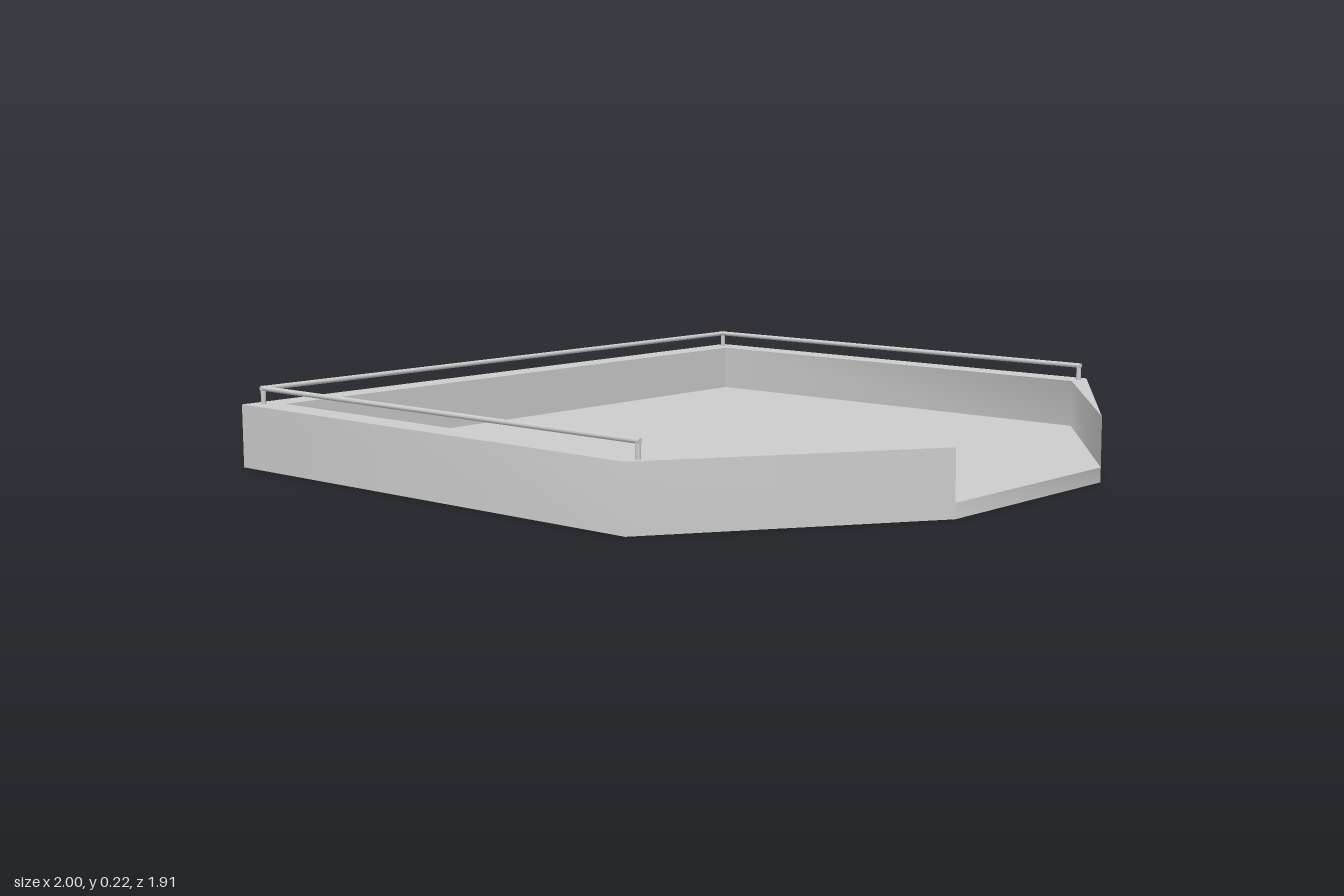
import * as THREE from 'three';
import { toCreasedNormals } from 'three/addons/utils/BufferGeometryUtils.js';

const material = new THREE.MeshStandardMaterial({ color: 0xcccccc });

function addMesh(parent, name, geometry) {
  const mesh = new THREE.Mesh(geometry, material);
  mesh.name = name;
  parent.add(mesh);
  return mesh;
}

// Upright slab standing on y = 0 from a plan outline of [x, z] points
function slab(points, height) {
  const shape = new THREE.Shape(points.map(([x, z]) => new THREE.Vector2(x, -z)));
  const geometry = new THREE.ExtrudeGeometry(shape, { depth: height, bevelEnabled: false });
  geometry.rotateX(-Math.PI / 2);
  return toCreasedNormals(geometry, Math.PI / 3);
}

// Round bar between two points
function bar(a, b, radius) {
  const start = new THREE.Vector3(...a);
  const dir = new THREE.Vector3(...b).sub(start);
  const geometry = new THREE.CylinderGeometry(radius, radius, dir.length(), 12);
  const turn = new THREE.Quaternion().setFromUnitVectors(new THREE.Vector3(0, 1, 0), dir.clone().normalize());
  geometry.applyQuaternion(turn);
  const mid = start.addScaledVector(dir, 0.5);
  return geometry.translate(mid.x, mid.y, mid.z);
}

export function createModel() {
  const model = new THREE.Group();
  model.name = 'walledTerrace';

  const wallTop = 0.175, floorTop = 0.04;
  const front = 0.955, back = -0.955, shoulder = 0.5, opening = 0.333;
  const innerX = 0.917, innerBack = -0.872;

  // Plan halves run from the front opening round to the back on the +x side
  const outer = [[opening, front], [1, shoulder], [1, back]];
  const inner = [[opening, front], [innerX, shoulder], [innerX, innerBack]];
  const mirrored = (half) => half.map(([x, z]) => [-x, z]).reverse();

  // Floor inside the walls, open at the front
  addMesh(model, 'floor', slab([...inner, ...mirrored(inner)], floorTop));

  // Parapet wall, its front wings tapering to the opening
  const outerLoop = [...outer, ...mirrored(outer)];
  const innerLoop = [...inner, ...mirrored(inner)].reverse().slice(1, -1);
  addMesh(model, 'parapetWall', slab([...outerLoop, ...innerLoop], wallTop));

  // Handrail on three sides
  const railing = new THREE.Group();
  railing.name = 'railing';
  model.add(railing);
  const r = 0.007, railX = 0.955, railBack = -0.918, railY = 0.218;
  for (const side of [1, -1]) {
    const x = side * railX;
    addMesh(railing, 'sideRail', bar([x, railY, shoulder + r], [x, railY, railBack - r], r));
    for (const z of [shoulder, railBack]) {
      addMesh(railing, 'railPost', bar([x, wallTop - 0.005, z], [x, railY, z], r));
    }
  }
  addMesh(railing, 'backRail', bar([-railX - r, railY, railBack], [railX + r, railY, railBack], r));

  return model;
}
